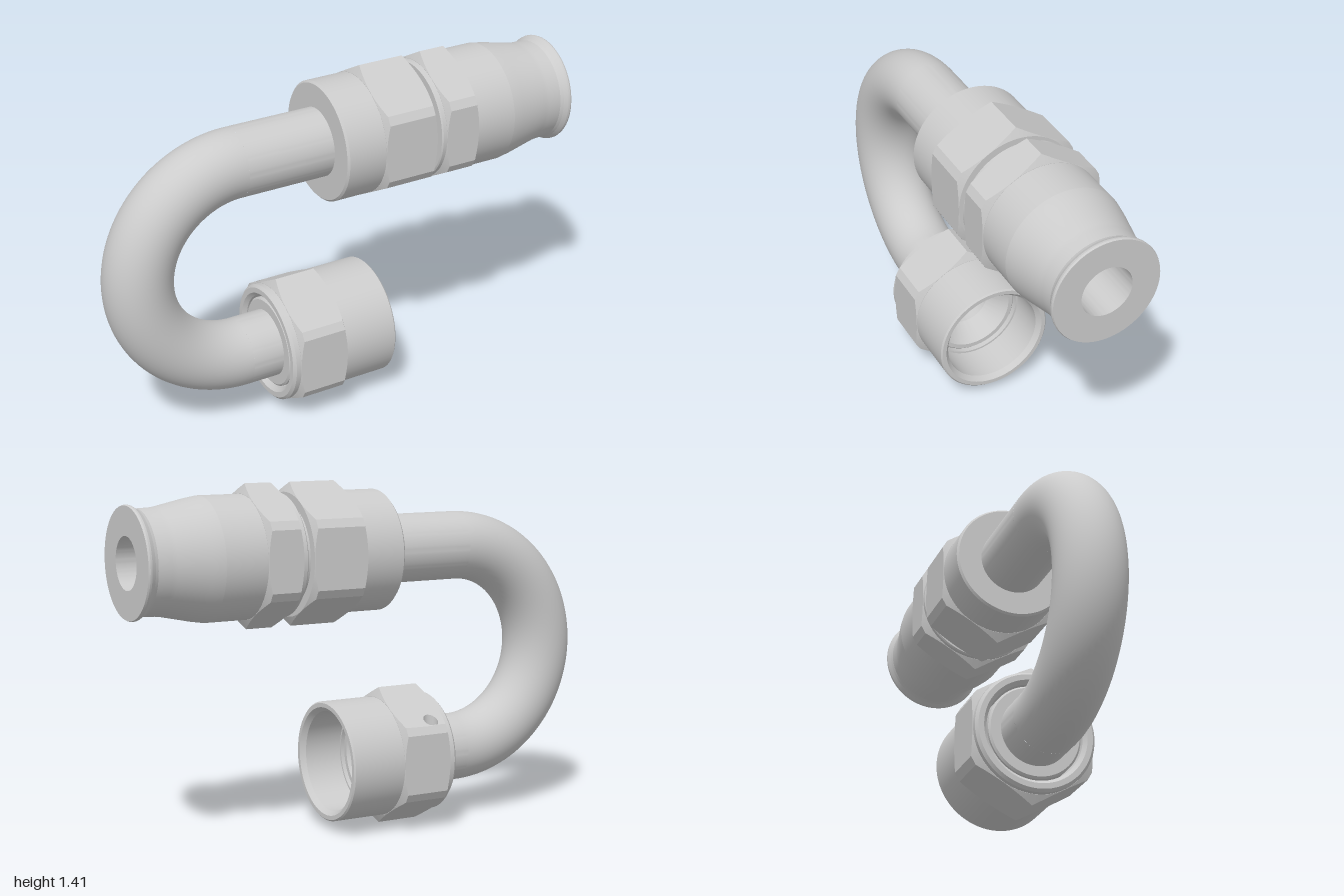
import * as THREE from 'three';
import { mergeGeometries, toCreasedNormals } from 'three/addons/utils/BufferGeometryUtils.js';

const TOP = 1.13, LOW = 0.283;           // heights of the two pipe axes
const BEND = (TOP - LOW) / 2;            // bend radius
const BEND_X = -0.4375;                  // where the bend meets the straights
const TUBE = 0.139, BORE = 0.103;
const FLAT = 0.245, HEX_END = 0.244;     // hexagon half width, chamfer start radius
const CREASE = 0.15;
const rad = THREE.MathUtils.degToRad;

const grey = new THREE.MeshStandardMaterial({ color: 0xcccccc });
const inside = new THREE.MeshStandardMaterial({ color: 0xcccccc, side: THREE.BackSide });

function add(group, name, geometry, y = 0, material = grey) {
  const mesh = new THREE.Mesh(geometry, material);
  mesh.name = name;
  mesh.position.y = y;
  group.add(mesh);
  return mesh;
}

// Turned part along x; profile is a list of [x, radius]
function turned(profile) {
  const g = new THREE.LatheGeometry(profile.map(([x, r]) => new THREE.Vector2(r, x)), 96);
  g.rotateZ(-Math.PI / 2);
  return toCreasedNormals(g, CREASE);
}

// Radius of the hexagon at an angle (degrees from +z to +y); side corners are blunted
function hexRadius(deg) {
  const flat = Math.round(deg / 60) * 60;
  let r = FLAT / Math.cos(rad(deg - flat));
  const blunt = FLAT / Math.cos(rad(26)) * Math.cos(rad(4));
  for (const corner of [30, 150, 210, 330]) {
    const c = Math.cos(rad(deg - corner));
    if (c > 0.8) r = Math.min(r, blunt / c);
  }
  return r;
}

// Hexagon with conical end chamfers; drill = {x, z, r} cuts a hole in the upper back flat
function hexagon(x0, x1, drill) {
  const step = 2, pos = [];
  const chamfer = deg => (hexRadius(deg) - HEX_END) * 0.5;
  const ring = deg => {
    const rh = hexRadius(deg), dx = chamfer(deg), s = Math.sin(rad(deg)), c = Math.cos(rad(deg));
    return [[x0, 0.21], [x0, HEX_END], [x0 + dx, rh], [x1 - dx, rh], [x1, HEX_END], [x1, 0.21]]
      .map(([x, r]) => [x, r * s, r * c]);
  };
  for (let deg = 0; deg < 360; deg += step) {
    const a = ring(deg), b = ring(deg + step);
    for (let i = 0; i < 5; i++) {
      if (drill && i === 2 && deg >= 90 && deg < 146) continue;
      pos.push(...a[i], ...a[i + 1], ...b[i], ...a[i + 1], ...b[i + 1], ...b[i]);
    }
  }
  let g = new THREE.BufferGeometry();
  g.setAttribute('position', new THREE.Float32BufferAttribute(pos, 3));
  if (drill) {
    const s = Math.sin(rad(120)), c = Math.cos(rad(120));
    const left = [], right = [];
    for (let deg = 90; deg <= 146; deg += step) {
      const u = FLAT * Math.tan(rad(deg - 120));
      left.unshift(new THREE.Vector2(x0 + chamfer(deg), u));
      right.push(new THREE.Vector2(x1 - chamfer(deg), u));
    }
    const face = new THREE.Shape([...right, ...left]);
    const hole = new THREE.Path();
    hole.absellipse(drill.x, (FLAT * c - drill.z) / s, drill.r, drill.r / s, 0, Math.PI * 2, true);
    face.holes.push(hole);
    const flat = new THREE.ShapeGeometry(face, 16).toNonIndexed();
    flat.deleteAttribute('normal');
    flat.deleteAttribute('uv');
    flat.applyMatrix4(new THREE.Matrix4().makeBasis(
      new THREE.Vector3(1, 0, 0), new THREE.Vector3(0, c, -s), new THREE.Vector3(0, s, c)
    ).setPosition(0, FLAT * s, FLAT * c));
    g = mergeGeometries([g, flat]);
  }
  return toCreasedNormals(g, CREASE);
}

// Wall and floor of the small vertical hole, its rim following the sloping flat
function drilledWall({ x, z, r }) {
  const g = new THREE.CylinderGeometry(r, r, 1, 32, 1, true).translate(x, 0, z);
  const p = g.attributes.position, floorY = 0.1;
  for (let i = 0; i < p.count; i++) {
    const rim = (FLAT - p.getZ(i) * Math.cos(rad(120))) / Math.sin(rad(120));
    p.setY(i, p.getY(i) > 0 ? rim : floorY);
  }
  const floor = new THREE.CircleGeometry(r, 32).rotateX(Math.PI / 2).translate(x, floorY, z);
  return mergeGeometries([g, floor]);
}

export function createModel() {
  const model = new THREE.Group();
  model.name = 'hoseFitting';

  // U-shaped bend with its bore
  for (const [name, r, mat] of [['bentTube', TUBE, grey], ['bentTubeBore', BORE, inside]]) {
    const bend = new THREE.TorusGeometry(BEND, r, 48, 72, Math.PI).rotateZ(Math.PI / 2);
    add(model, name, bend, (TOP + LOW) / 2, mat).position.x = BEND_X;
  }

  // Upper straight, collar, neck and flared socket, bored through
  const socket = new THREE.Group();
  socket.name = 'hoseSocket';
  socket.position.y = TOP;
  add(socket, 'socketBody', turned([
    [BEND_X, TUBE], [-0.07, TUBE], [-0.07, 0.235], [-0.062, 0.243], [0.325, 0.243],
    [0.325, 0.198], [0.357, 0.198], [0.357, 0.238], [0.362, 0.243], [0.70, 0.243],
    [0.75, 0.235], [0.88, 0.207], [0.9, 0.205], [0.955, 0.203], [0.968, 0.208],
    [0.985, 0.218], [0.993, 0.219], [1, 0.216], [1, BORE], [BEND_X, BORE],
  ]));
  add(socket, 'socketLargeHex', hexagon(0.1, 0.333));
  add(socket, 'socketSmallHex', hexagon(0.378, 0.527));
  model.add(socket);

  // Lower straight ending in a coned nose
  add(model, 'seatNose', turned([
    [BEND_X, TUBE], [-0.305, TUBE], [-0.305, 0.18], [-0.298, 0.188], [-0.035, 0.188],
    [-0.03, 0.183], [-0.03, 0.165], [-0.11, BORE], [BEND_X, BORE],
  ]), LOW);

  // Loose swivel nut around the nose
  const nut = new THREE.Group();
  nut.name = 'swivelNut';
  nut.position.y = LOW;
  const drill = { x: -0.215, z: -0.2, r: 0.03 };
  add(nut, 'nutBody', turned([
    [-0.3, 0.195], [-0.315, 0.21], [-0.315, 0.232], [-0.304, 0.243], [-0.275, 0.243],
    [-0.275, 0.215], [-0.08, 0.215], [-0.08, 0.243], [0.154, 0.243], [0.16, 0.237],
    [0.16, 0.22], [0.14, 0.203], [-0.02, 0.203], [-0.02, 0.195], [-0.3, 0.195],
  ]));
  add(nut, 'nutHex', hexagon(-0.283, -0.07, drill));
  add(nut, 'nutDrilledHole', drilledWall(drill), 0, inside);
  model.add(nut);

  return model;
}
